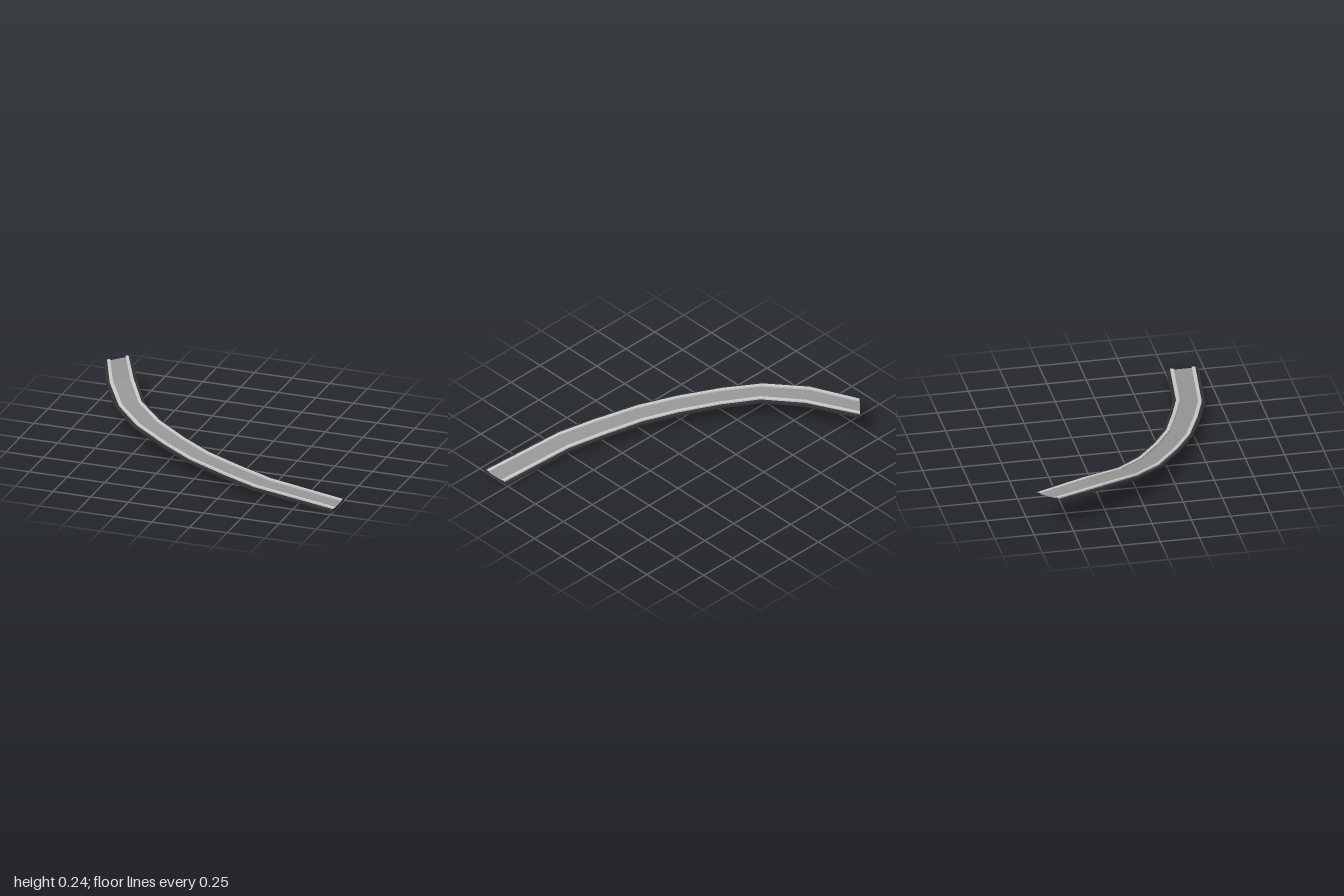
import * as THREE from 'three';

// Stations from the high end to the low end: outer edge x, z, inner edge x, z, base height
const STATIONS = [
  [-1.0, -0.58, -0.87, -0.72, 0.214],
  [-0.87, -0.27, -0.71, -0.39, 0.206],
  [-0.71, -0.01, -0.565, -0.14, 0.172],
  [-0.53, 0.165, -0.385, 0.025, 0.137],
  [-0.29, 0.33, -0.17, 0.17, 0.11],
  [-0.07, 0.455, 0.04, 0.285, 0.085],
  [0.21, 0.565, 0.29, 0.375, 0.06],
  [0.44, 0.64, 0.51, 0.445, 0.04],
  [1.0, 0.715, 1.0, 0.51, 0.0],
];
const OPEN_SEGMENTS = [0, 4]; // segments without an underside

const MARGIN = 0.11, RAIL = 0.22; // fractions of the track width
const SLAB = 0.014, TOP = 0.023, FLOOR = 0.014;

// Point at fraction t across a station, h above its base
function at(i, [t, h]) {
  const [ox, oz, ix, iz, y] = STATIONS[i];
  return [ox + (ix - ox) * t, y + h, oz + (iz - oz) * t];
}

function makeMesh(name, positions, color) {
  const geometry = new THREE.BufferGeometry();
  geometry.setAttribute('position', new THREE.Float32BufferAttribute(positions, 3));
  geometry.computeVertexNormals();
  const material = new THREE.MeshStandardMaterial({ color, flatShading: true, side: THREE.DoubleSide });
  const mesh = new THREE.Mesh(geometry, material);
  mesh.name = name;
  return mesh;
}

function quad(a, b, c, d) {
  return [...a, ...b, ...c, ...a, ...c, ...d];
}

// Sweep an open profile, listed from outer to inner, along all stations
function sweep(name, profile, color, skip = []) {
  const positions = [];
  for (let i = 0; i < STATIONS.length - 1; i++) {
    if (skip.includes(i)) continue;
    for (let k = 0; k < profile.length - 1; k++) {
      const p = profile[k], q = profile[k + 1];
      positions.push(...quad(at(i, p), at(i + 1, p), at(i + 1, q), at(i, q)));
    }
  }
  return makeMesh(name, positions, color);
}

const mirror = (profile) => profile.map(([t, h]) => [1 - t, h]).reverse();

export function createModel() {
  const group = new THREE.Group();
  group.name = 'curvedRamp';
  const dark = 0x333333, light = 0xcccccc, grey = 0x999999;

  // Dark outer edges and light raised rails on both sides
  const edge = [[0, 0], [0, SLAB], [MARGIN, SLAB]];
  const rail = [[MARGIN, SLAB], [MARGIN, TOP], [RAIL, TOP], [RAIL, FLOOR]];
  group.add(sweep('outerEdge', edge, dark), sweep('innerEdge', mirror(edge), dark));
  group.add(sweep('outerRail', rail, light), sweep('innerRail', mirror(rail), light));

  // Running surface
  group.add(sweep('floor', [[RAIL, FLOOR], [1 - RAIL, FLOOR]], grey));

  // Underside, wound to face down
  group.add(sweep('underside', [[1, 0], [0, 0]], dark, OPEN_SEGMENTS));

  // Cap at the low end
  const last = STATIONS.length - 1;
  group.add(makeMesh('endCap', quad(
    at(last, [0, 0]), at(last, [1, 0]), at(last, [1, SLAB]), at(last, [0, SLAB])), dark));
  return group;
}
